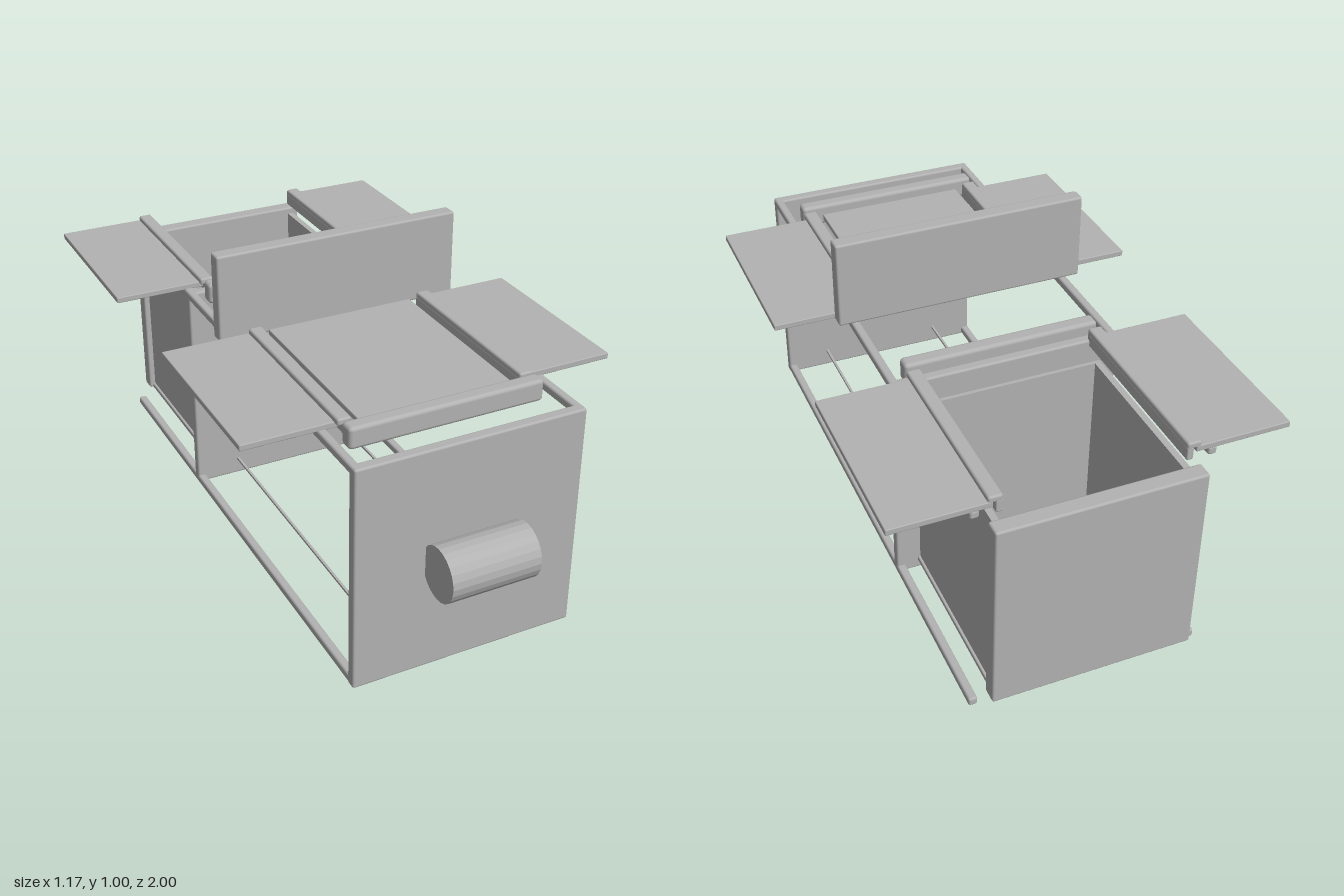
import * as THREE from 'three';
import { RoundedBoxGeometry } from 'three/addons/geometries/RoundedBoxGeometry.js';

export function createModel() {
  const model = new THREE.Group();
  const grey = new THREE.MeshStandardMaterial({ color: 0xb2b2b2 });
  grey.name = 'grey';

  // Box given by its limits on each axis; r > 0 softens the edges
  function box(name, [x0, x1], [y0, y1], [z0, z1], r = 0.007) {
    const w = x1 - x0, h = y1 - y0, d = z1 - z0;
    const geometry = r
      ? new RoundedBoxGeometry(w, h, d, 2, r)
      : new THREE.BoxGeometry(w, h, d);
    const mesh = new THREE.Mesh(geometry, grey);
    mesh.position.set((x0 + x1) / 2, (y0 + y1) / 2, (z0 + z1) / 2);
    mesh.name = name;
    model.add(mesh);
    return mesh;
  }

  // The same box on the left and the right
  function pair(name, [x0, x1], y, z, r) {
    box(name + 'Left', [x0, x1], y, z, r);
    box(name + 'Right', [-x1, -x0], y, z, r);
  }

  // Main frame: front wall, inner partition and long rails
  box('frontWall', [-0.36, 0.36], [0, 0.725], [0.815, 0.85]);
  box('partition', [-0.36, 0.36], [0.005, 0.722], [-0.357, -0.323]);
  pair('topRail', [0.333, 0.36], [0.698, 0.725], [-0.94, 0.845]);
  pair('bottomRail', [0.333, 0.36], [0.003, 0.03], [-0.94, 0.845]);
  pair('floorRod', [0.208, 0.216], [0.058, 0.066], [-0.37, 0.82], 0);

  // Round handle on the front wall
  const handle = new THREE.Mesh(
    new THREE.CylinderGeometry(0.083, 0.083, 0.28, 24).toNonIndexed(), grey);
  handle.geometry.computeVertexNormals();
  handle.rotation.z = Math.PI / 2;
  handle.position.set(0, 0.37, 0.917);
  handle.name = 'handle';
  model.add(handle);

  // Upright divider across the middle
  box('divider', [-0.4, 0.4], [0.725, 1.003], [-0.01, 0.04]);

  // Two hatches: side flaps, their hinge rails, a cross bar and a catch
  for (const [name, back, front, railFront, bar] of [
    ['front', 0.045, 0.63, 0.65, 0.69],
    ['rear', -0.94, -0.36, -0.342, -0.302],
  ]) {
    pair(name + 'Flap', [0.295, 0.587], [0.722, 0.741], [back, front], 0.003);
    pair(name + 'HingeRail', [0.267, 0.31], [0.735, 0.757], [back, railFront]);
    pair(name + 'HingeStem', [0.267, 0.288], [0.7, 0.742], [back, railFront], 0.005);
    box(name + 'CrossBar', [-0.307, 0.307], [0.693, 0.762], [bar - 0.025, bar + 0.025], 0.012);
    const z = bar - 0.325;
    box(name + 'Catch', [0.335, 0.37], [0.667, 0.69], [z - 0.038, z + 0.038], 0.004);
    box(name + 'CatchStem', [0.335, 0.358], [0.685, 0.702], [z - 0.02, z + 0.02], 0);
  }

  // Closed lid between the front flaps
  box('frontLid', [-0.243, 0.243], [0.72, 0.738], [0.045, 0.65], 0.003);

  // Open rear drawer
  box('drawerBack', [-0.312, 0.312], [0.055, 0.682], [-0.995, -0.942]);
  pair('drawerSide', [0.272, 0.292], [0.06, 0.66], [-0.945, -0.38], 0);
  box('drawerFront', [-0.272, 0.272], [0.06, 0.66], [-0.392, -0.38], 0);
  box('drawerFloor', [-0.272, 0.272], [0.064, 0.076], [-0.945, -0.38], 0);
  pair('drawerRunner', [0.27, 0.3], [0.055, 0.072], [-0.945, -0.375], 0.004);

  return model;
}
